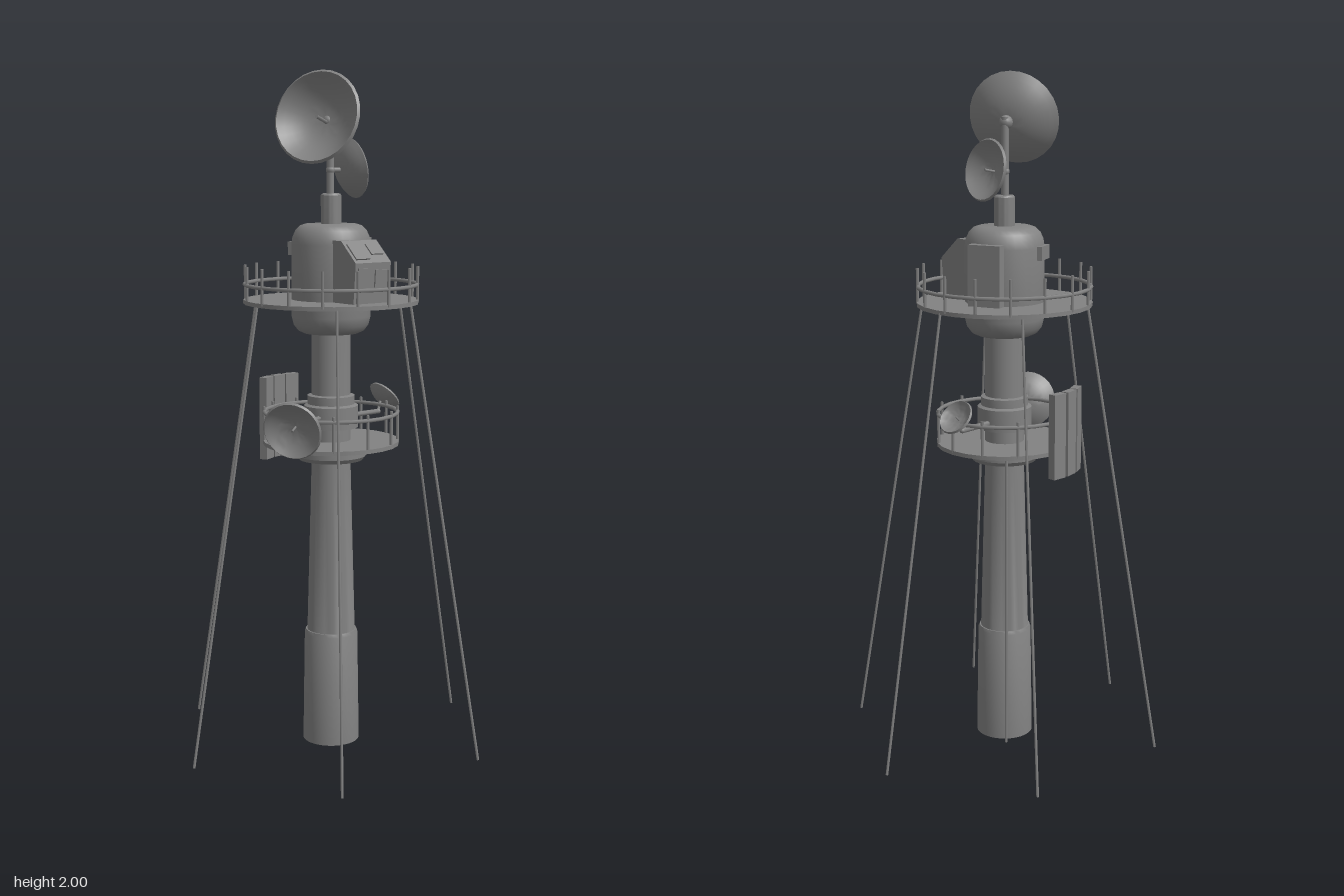
import * as THREE from 'three';
import { toCreasedNormals } from 'three/addons/utils/BufferGeometryUtils.js';

export function createModel() {
  const model = new THREE.Group();
  const mat = new THREE.MeshStandardMaterial({ color: 0x828282 });
  const thin = new THREE.MeshStandardMaterial({ color: 0x828282, side: THREE.DoubleSide });
  const V = (x, y, z) => new THREE.Vector3(x, y, z);

  function add(name, geo, x = 0, y = 0, z = 0, parent = model, material = mat) {
    const m = new THREE.Mesh(geo, material);
    m.name = name;
    m.position.set(x, y, z);
    parent.add(m);
    return m;
  }
  const box = (name, w, h, d, x, y, z, parent) => add(name, new THREE.BoxGeometry(w, h, d), x, y, z, parent);

  // Round bar between two points
  function bar(name, a, b, r, parent = model, sides = 6) {
    const mid = a.clone().add(b).multiplyScalar(0.5);
    const m = add(name, new THREE.CylinderGeometry(r, r, a.distanceTo(b), sides), mid.x, mid.y, mid.z, parent);
    m.quaternion.setFromUnitVectors(V(0, 1, 0), b.clone().sub(a).normalize());
    return m;
  }
  function lathe(name, pts) {
    const g = new THREE.LatheGeometry(pts.map(p => new THREE.Vector2(p[0], p[1])), 32);
    return add(name, toCreasedNormals(g, 0.6));
  }

  // Mast: wide base, tapered shaft, flange, collar, upper shaft
  lathe('mast', [
    [0, 0], [0.085, 0], [0.085, 0.01], [0.08, 0.335], [0.076, 0.345], [0.072, 0.345],
    [0.058, 0.87], [0.057, 1.26], [0, 1.26]]);
  lathe('mastFlange', [[0.05, 0.868], [0.095, 0.868], [0.104, 0.88], [0.104, 0.92], [0.05, 0.92]]);
  lathe('mastCollar', [
    [0.05, 0.965], [0.08, 0.965], [0.08, 1.03], [0.07, 1.035], [0.07, 1.06], [0.05, 1.065]]);

  // Equipment pod and neck
  lathe('pod', [
    [0, 1.245], [0.08, 1.245], [0.097, 1.253], [0.11, 1.27], [0.116, 1.295], [0.116, 1.505],
    [0.113, 1.525], [0.104, 1.545], [0.09, 1.558], [0.075, 1.563], [0, 1.563]]);
  lathe('neck', [[0, 1.55], [0.03, 1.55], [0.03, 1.645], [0.026, 1.65], [0, 1.65]]);
  bar('antennaPole', V(0, 1.64, 0.004), V(0, 1.87, 0.004), 0.011, model, 12);

  // Round decks with railing
  function deck(name, r, y, railHeight, postHeight, posts) {
    const g = new THREE.Group();
    g.name = name;
    g.position.y = y;
    model.add(g);
    add('floor', toCreasedNormals(new THREE.CylinderGeometry(r, r, 0.012, 24), 0.5), 0, 0, 0, g);
    const ring = new THREE.TorusGeometry(r - 0.004, 0.006, 6, 24);
    ring.rotateX(Math.PI / 2);
    add('rail', ring, 0, railHeight, 0, g);
    for (let i = 0; i < posts; i++) {
      const a = i / posts * Math.PI * 2;
      const x = Math.sin(a) * (r - 0.004), z = Math.cos(a) * (r - 0.004);
      bar('railPost', V(x, 0, z), V(x, postHeight, z), 0.0045, g);
    }
  }
  deck('upperDeck', 0.257, 1.338, 0.05, 0.104, 16);
  deck('lowerDeck', 0.202, 0.92, 0.09, 0.106, 12);

  // Guy wires
  const angles = [-2.5, -63, -120, 179.5, 118.5, 58.5];
  for (const deg of angles) {
    const a = deg * Math.PI / 180, c = Math.cos(a), s = Math.sin(a);
    bar('guyWire', V(c * 0.252, 1.338, s * 0.252), V(c * 0.478, 0.004, s * 0.478), 0.004);
  }

  // Ladder standing radially behind the mast
  const ladder = new THREE.Group();
  ladder.name = 'ladder';
  model.add(ladder);
  const inner = [-0.046, -0.117], outer = [-0.063, -0.17];
  for (const [x, z] of [inner, outer]) bar('ladderRail', V(x, 0.035, z), V(x, 0.92, z), 0.004, ladder);
  for (let i = 0; i < 26; i++) {
    const y = 0.06 + i * 0.033;
    bar('ladderRung', V(inner[0], y, inner[1]), V(outer[0], y, outer[1]), 0.0035, ladder);
  }

  // Parabolic dish: rim centre, facing direction, radius, depth, anchor of the mount
  function dish(name, pos, dir, r, depth, anchor) {
    const g = new THREE.Group();
    g.name = name;
    g.position.copy(pos);
    g.lookAt(pos.clone().add(dir));
    model.add(g);
    const pts = [];
    for (let i = 0; i <= 8; i++) pts.push(new THREE.Vector2(r * i / 8, depth * ((i / 8) ** 2.3 - 1)));
    for (let i = 8; i >= 0; i--) pts.push(new THREE.Vector2(r * 0.95 * i / 8, depth * ((i / 8) ** 2.3 - 1) + 0.006));
    const bowl = new THREE.LatheGeometry(pts, 28);
    bowl.rotateX(Math.PI / 2);
    add('bowl', toCreasedNormals(bowl, 0.7), 0, 0, 0, g, thin);
    bar('feedRod', V(0, 0, -depth), V(0, 0, 0.004), r * 0.04, g);
    const apex = pos.clone().addScaledVector(dir.clone().normalize(), -depth);
    bar('dishMount', apex, anchor, r * 0.08, model, 8);
    add('dishHub', new THREE.SphereGeometry(r * 0.15, 12, 8), anchor.x, anchor.y, anchor.z);
  }
  dish('mainDish', V(0, 1.866, 0.085), V(0, 0.25, 1), 0.136, 0.064, V(0, 1.855, 0.012));
  dish('rearDish', V(0.039, 1.724, -0.05), V(0.53, 0.19, -0.85), 0.09, 0.038, V(0, 1.717, 0.004));
  dish('lowerFrontDish', V(0.012, 0.992, 0.256), V(0.17, -0.25, 1), 0.087, 0.034, V(0.006, 1.0, 0.198));
  dish('lowerRearDish', V(0.076, 1.034, -0.206), V(0.35, 0.75, -0.8), 0.054, 0.022, V(0.068, 0.99, -0.178));

  // Arms tying the lower dishes to the collar
  bar('dishArm', V(0, 1.0, 0.06), V(0.006, 1.0, 0.198), 0.008);
  bar('dishArm', V(0.02, 0.99, -0.06), V(0.068, 0.99, -0.178), 0.008);

  // Three tall panel antennas fanned around the right side
  for (let i = -1; i <= 1; i++) {
    const g = new THREE.Group();
    g.name = 'panelAntenna';
    g.rotation.y = -(Math.PI + 0.22 + i * 0.25);
    model.add(g);
    box('panel', 0.024, 0.25, 0.046, 0.217, 0.975, 0, g);
    for (const y of [0.94, 1.0]) box('panelBracket', 0.016, 0.012, 0.016, 0.199, y, 0, g);
  }

  // Entrance cabin with sloping roof, turned toward the front left
  const cabin = new THREE.Group();
  cabin.name = 'entranceCabin';
  cabin.rotation.y = -0.41;
  model.add(cabin);
  const profile = new THREE.Shape();
  profile.moveTo(0.06, 1.34);
  profile.lineTo(0.185, 1.34);
  profile.lineTo(0.195, 1.46);
  profile.lineTo(0.13, 1.52);
  profile.lineTo(0.06, 1.52);
  const body = new THREE.ExtrudeGeometry(profile, { depth: 0.13, bevelEnabled: false });
  body.translate(0, 0, -0.065);
  add('cabinBody', body, 0, 0, 0.003, cabin);
  box('cabinDoor', 0.008, 0.1, 0.05, 0.19, 1.396, 0.034, cabin).rotation.z = -0.083;
  box('cabinWindow', 0.008, 0.05, 0.046, 0.192, 1.415, -0.027, cabin).rotation.z = -0.083;
  box('roofHatch', 0.04, 0.008, 0.045, 0.158, 1.494, -0.03, cabin).rotation.z = -0.745;
  box('roofPanel', 0.06, 0.008, 0.05, 0.164, 1.489, 0.034, cabin).rotation.z = -0.745;

  // Cabinets on the back and right of the pod
  const back = box('rearCabinet', 0.1, 0.18, 0.06, 0.014, 1.43, -0.105);
  back.rotation.y = -0.12;
  box('sideBox', 0.03, 0.04, 0.07, -0.11, 1.49, 0);

  return model;
}
